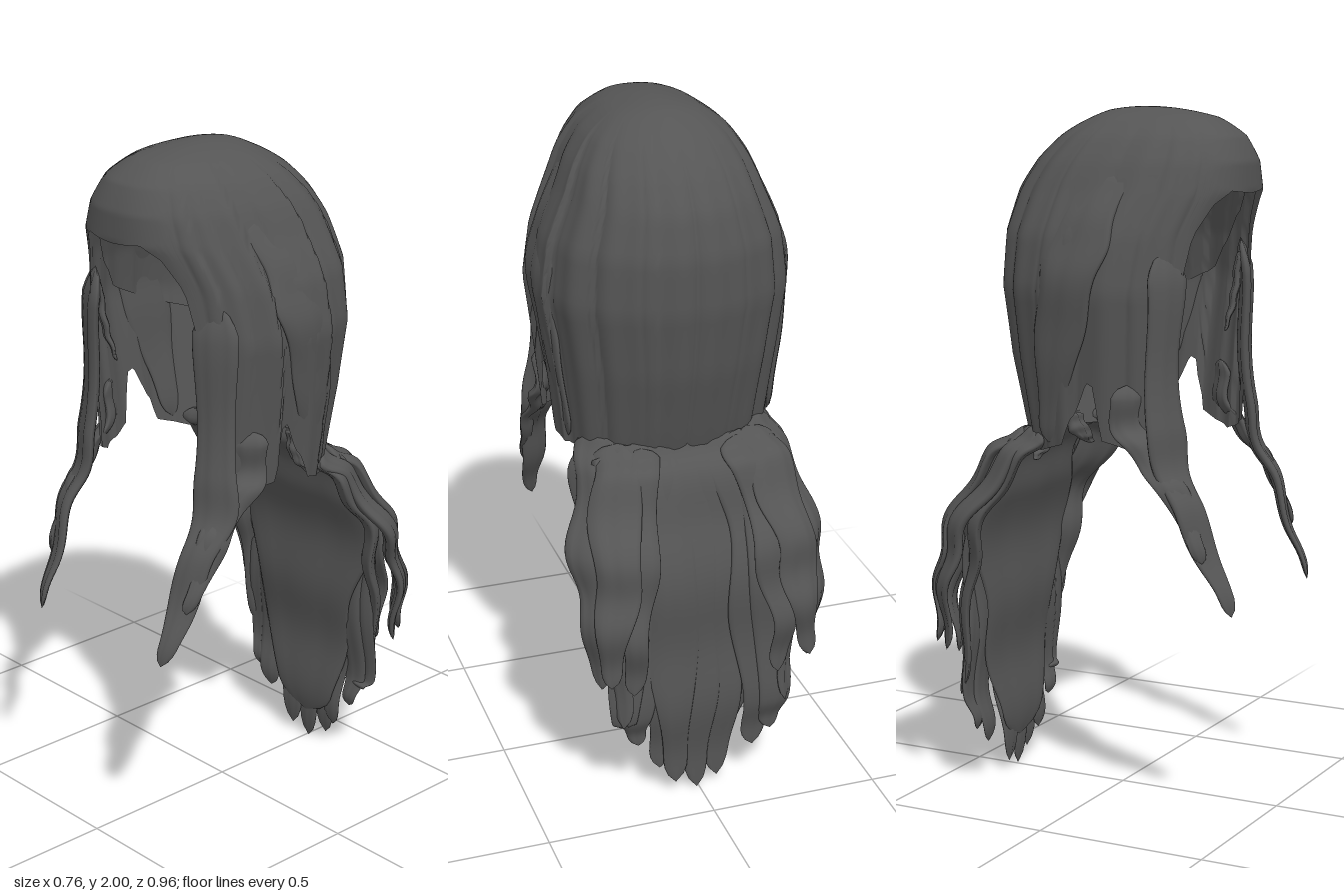
import * as THREE from 'three';

const material = new THREE.MeshStandardMaterial({ color: 0x555555, roughness: 0.8, side: THREE.DoubleSide });

// Piecewise-linear lookup: rows are [key, value, value, ...] with rising keys
function lookup(rows, key) {
  let i = 1;
  while (i < rows.length - 1 && rows[i][0] < key) i++;
  const a = rows[i - 1], b = rows[i];
  const t = THREE.MathUtils.clamp((key - a[0]) / (b[0] - a[0]), 0, 1);
  return a.slice(1).map((v, k) => v + (b[k + 1] - v) * t);
}

// Closed-around surface: rows run down, columns wrap round
function wrapMesh(name, rows, cols, pointAt) {
  const pos = [], idx = [];
  for (let i = 0; i <= rows; i++)
    for (let j = 0; j < cols; j++) pos.push(...pointAt(i / rows, j / cols));
  for (let i = 0; i < rows; i++)
    for (let j = 0; j < cols; j++) {
      const k = (j + 1) % cols;
      const a = i * cols + j, b = a + cols, c = i * cols + k, d = c + cols;
      idx.push(a, b, c, c, b, d);
    }
  const g = new THREE.BufferGeometry();
  g.setAttribute('position', new THREE.Float32BufferAttribute(pos, 3));
  g.setIndex(idx);
  g.computeVertexNormals();
  const mesh = new THREE.Mesh(g, material);
  mesh.name = name;
  return mesh;
}

// Head profile: height, half width, front reach, back reach
const profile = [
  [2.0, 0, 0.08, 0.08], [1.99, 0.07, 0.2, -0.03], [1.97, 0.13, 0.29, -0.08],
  [1.92, 0.2, 0.365, -0.17], [1.85, 0.25, 0.4, -0.245], [1.77, 0.285, 0.405, -0.3],
  [1.65, 0.34, 0.36, -0.335], [1.5, 0.365, 0.345, -0.338], [1.3, 0.34, 0.345, -0.31],
  [1.1, 0.32, 0.345, -0.26], [1.0, 0.31, 0.345, -0.23],
].map(([y, ...r]) => [Math.sqrt(2 - y), ...r]);

// Hem height round the head, from front centre (0) to back centre (PI)
const hem = [
  [0, 1.765], [0.3, 1.775], [0.45, 1.74], [0.54, 1.66], [0.6, 1.52], [0.64, 1.3], [0.68, 1.09], [1.0, 1.05],
  [1.36, 1.09], [1.41, 1.24], [1.46, 1.25], [1.56, 1.15], [1.68, 1.07], [2.1, 1.04], [3.15, 1.06],
];
// Inner layer hem: a rounded bowl, lowest at the back
const innerHem = [[0, 1.83], [0.7, 1.83], [0.85, 1.7], [1.2, 1.55], [1.7, 1.46], [2.4, 1.4], [3.15, 1.38]];

function headMesh(name, scale, hemRows, ridge) {
  return wrapMesh(name, 48, 320, (s, t) => {
    const phi = (t * 2 - 1) * Math.PI, p = Math.abs(phi);
    const q = s * Math.sqrt(2 - lookup(hemRows, p)[0]);
    const y = 2 - q * q;
    const [a, f, b] = lookup(profile, q);
    const centre = 0.08 * Math.max(0, 1 - q / 0.45);
    const c = Math.cos(phi), sn = Math.sin(phi);
    // Combed ridges and layered steps, swept backwards as they fall
    const sweep = p + 0.35 * Math.sin(p) * (1 - q);
    const strength = ridge * THREE.MathUtils.smoothstep(q, 0.1, 0.45) * THREE.MathUtils.smoothstep(p, 0.45, 0.9);
    const step = (sweep * 2.1) % 1;
    const bump = strength * (0.7 * Math.sqrt(Math.abs(Math.sin(sweep * 8))) - 0.75
      + 0.2 * Math.sin(sweep * 23 + 1) + 0.9 * step * Math.max(0, sn));
    const k = scale * (1 + bump);
    const side = c > 0 ? Math.pow(Math.abs(sn), 0.82) : Math.abs(sn);
    const x = Math.sign(sn) * a * side;
    const z = c > 0 ? centre + (f - centre) * Math.pow(c, 0.82) : centre - (b - centre) * c;
    return [x * k, y - (1 - scale) * 0.35, z * k];
  });
}

// Wavy ribbon of hair with a blunt tip, following a path
function lock(name, points, width, thick, angle = 0, wave = 0.012, phase = 0) {
  const curve = new THREE.CatmullRomCurve3(points.map((p) => new THREE.Vector3(...p)));
  const across = new THREE.Vector3(Math.cos(angle), 0, Math.sin(angle));
  return wrapMesh(name, 48, 20, (u, v) => {
    const p = curve.getPoint(u);
    const n = curve.getTangent(u).cross(across).normalize();
    const start = Math.min(1, Math.sqrt(u / 0.06));
    const tip = Math.sqrt(Math.min(1, (1 - u) / 0.05));
    const taper = 1 - 0.55 * THREE.MathUtils.smoothstep(u, 0.5, 1);
    const ang = -v * Math.PI * 2, c = Math.cos(ang), s = Math.sin(ang);
    const w = width * start * tip * taper * (1 + 0.1 * Math.sin(u * 17 + phase));
    const groove = 1 + 0.22 * Math.cos(c * 8 + phase);
    p.addScaledVector(across, c * w + wave * 0.6 * Math.sin(u * 15 + phase));
    p.addScaledVector(n, s * thick * start * tip * taper * groove + wave * start * Math.sin(u * 22));
    return p.toArray();
  });
}

export function createModel() {
  const hair = new THREE.Group();
  hair.name = 'longHair';

  // Crown, fringe and side panels in one combed shell
  hair.add(headMesh('crownAndFringe', 1, hem, 0.045));
  hair.add(headMesh('innerLayer', 0.93, innerHem, 0.03));

  // Broad sheet down the back
  hair.add(lock('backSheet', [
    [0, 1.09, -0.225], [0, 1.0, -0.265], [0, 0.85, -0.32], [0, 0.6, -0.35], [0, 0.35, -0.355], [0, 0.1, -0.355],
  ], 0.25, 0.016, 0, 0.009));

  // Overlapping locks on the sheet: start x, mid x, tip x, tip height, width
  const backLocks = [
    [-0.04, -0.05, -0.06, 0.03, 0.085], [0.03, 0.03, 0.01, 0.005, 0.085], [0.08, 0.09, 0.08, 0.04, 0.08],
    [0.1, 0.13, 0.12, 0.09, 0.07], [-0.12, -0.16, -0.17, 0.12, 0.075], [-0.16, -0.21, -0.22, 0.17, 0.07],
    [0.15, 0.18, 0.19, 0.18, 0.065], [0.18, 0.22, 0.23, 0.25, 0.06],
  ];
  backLocks.forEach(([x0, x1, x2, y, w], i) => {
    const d = (i % 3) * 0.007;
    hair.add(lock('backLock' + (i + 1), [
      [x0, 1.09, -0.225], [x0, 1.0, -0.28], [x1, 0.82, -0.342 - d], [x1, 0.55, -0.37 - d],
      [x2, 0.28, -0.37 - d], [x2, y, -0.36 - d],
    ], w, 0.015, x1 * 0.6, 0.009, i * 1.3));
  });

  for (const m of [1, -1]) {
    const side = m > 0 ? 'left' : 'right';
    const add = (name, pts, w, t, angle, wave, phase) =>
      hair.add(lock(side + name, pts.map(([x, y, z]) => [x * m, y, z]), w, t, angle * m, wave, phase + (m > 0 ? 0 : 0.7)));

    // Outer rear locks flaring away from the shoulders
    add('OuterLock1', [[0.23, 1.1, -0.16], [0.27, 1.0, -0.24], [0.32, 0.82, -0.36],
      [0.325, 0.65, -0.41], [0.31, 0.43, -0.42]], 0.07, 0.02, 0.8, 0.01, 0.2);
    add('OuterLock2', [[0.19, 1.09, -0.21], [0.23, 1.0, -0.3], [0.26, 0.82, -0.41],
      [0.28, 0.65, -0.45], [0.3, 0.45, -0.455]], 0.07, 0.02, 0.3, 0.01, 1.9);
    add('OuterLock3', [[0.24, 1.1, -0.13], [0.27, 1.0, -0.21], [0.275, 0.82, -0.33],
      [0.26, 0.6, -0.37], [0.25, 0.28, -0.41]], 0.065, 0.02, 0.7, 0.01, 3.1);
    add('OuterLock4', [[0.14, 1.08, -0.24], [0.17, 1.0, -0.31], [0.2, 0.8, -0.4],
      [0.22, 0.6, -0.44], [0.22, 0.4, -0.435]], 0.06, 0.016, 0.2, 0.01, 4.2);

    // Face-framing lock sweeping forward at its tip
    add('FrontLock', [[0.25, 1.62, 0.255], [0.265, 1.4, 0.27], [0.275, 1.15, 0.27], [0.285, 1.02, 0.3],
      [0.285, 0.9, 0.36], [0.275, 0.75, 0.42], [0.262, 0.62, 0.475]], 0.062, 0.018, -0.45, 0.007, 0.4);
    add('FrontUnderLock', [[0.3, 1.25, 0.17], [0.305, 1.12, 0.18], [0.3, 1.03, 0.26],
      [0.31, 0.92, 0.34], [0.3, 0.77, 0.405]], 0.05, 0.016, -0.8, 0.007, 2.2);

    // Broad strand over the ear, emerging from the crown
    add('EarStrand', [[0.22, 1.84, 0.07], [0.31, 1.68, 0.04], [0.35, 1.54, 0.01],
      [0.335, 1.34, -0.03], [0.3, 1.07, -0.08]], 0.095, 0.02, 1.5, 0.002, 1);

    // Short tip inside the face opening, and a curl below the rear hem
    add('TempleTip', [[0.235, 1.58, 0.26], [0.22, 1.45, 0.25], [0.18, 1.35, 0.24]], 0.025, 0.01, -0.5, 0.002, 0);
    add('HemCurl', [[0.08, 1.09, -0.22], [0.11, 1.03, -0.2], [0.17, 0.99, -0.2]], 0.04, 0.018, 0.2, 0.002, 0);
  }
  return hair;
}
